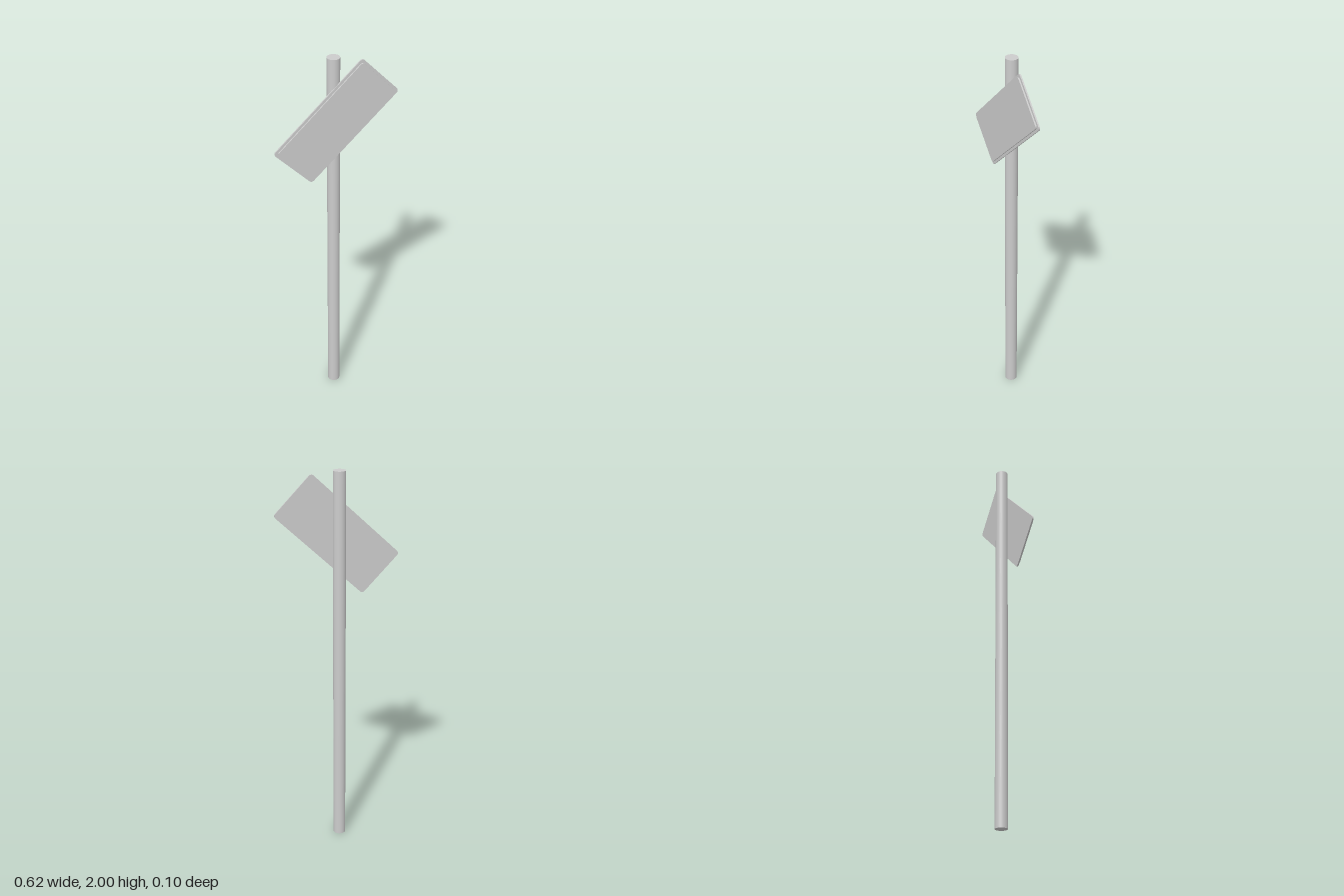
import * as THREE from 'three';

const material = new THREE.MeshStandardMaterial({ color: 0xcccccc });

// Flat plate with rounded corners, its back on z = 0
function roundedPlate(name, w, h, r, depth) {
  const x = w / 2, y = h / 2;
  const s = new THREE.Shape();
  s.moveTo(-x + r, -y);
  s.lineTo(x - r, -y);
  s.absarc(x - r, -y + r, r, -Math.PI / 2, 0);
  s.absarc(x - r, y - r, r, 0, Math.PI / 2);
  s.absarc(-x + r, y - r, r, Math.PI / 2, Math.PI);
  s.absarc(-x + r, -y + r, r, Math.PI, Math.PI * 1.5);
  const geometry = new THREE.ExtrudeGeometry(s, { depth, bevelEnabled: false, curveSegments: 6 });
  const mesh = new THREE.Mesh(geometry, material);
  mesh.name = name;
  return mesh;
}

export function createModel() {
  const model = new THREE.Group();
  model.name = 'signPost';

  // Round pole
  const pole = new THREE.Mesh(new THREE.CylinderGeometry(0.032, 0.032, 2, 48), material);
  pole.name = 'pole';
  pole.position.set(0, 1, -0.021);
  model.add(pole);

  // Sign board: backing plate with a slightly smaller raised face
  const sign = new THREE.Group();
  sign.name = 'sign';
  const backing = roundedPlate('backingPlate', 0.62, 0.275, 0.016, 0.007);
  const face = roundedPlate('facePanel', 0.595, 0.25, 0.014, 0.007);
  face.position.z = 0.007;
  sign.add(backing, face);

  // Tilted in its own plane, then turned slightly about the pole
  sign.rotation.set(0, -0.104, THREE.MathUtils.degToRad(43.7), 'YXZ');
  sign.position.set(0, 1.673, 0.0065);
  model.add(sign);

  return model;
}
